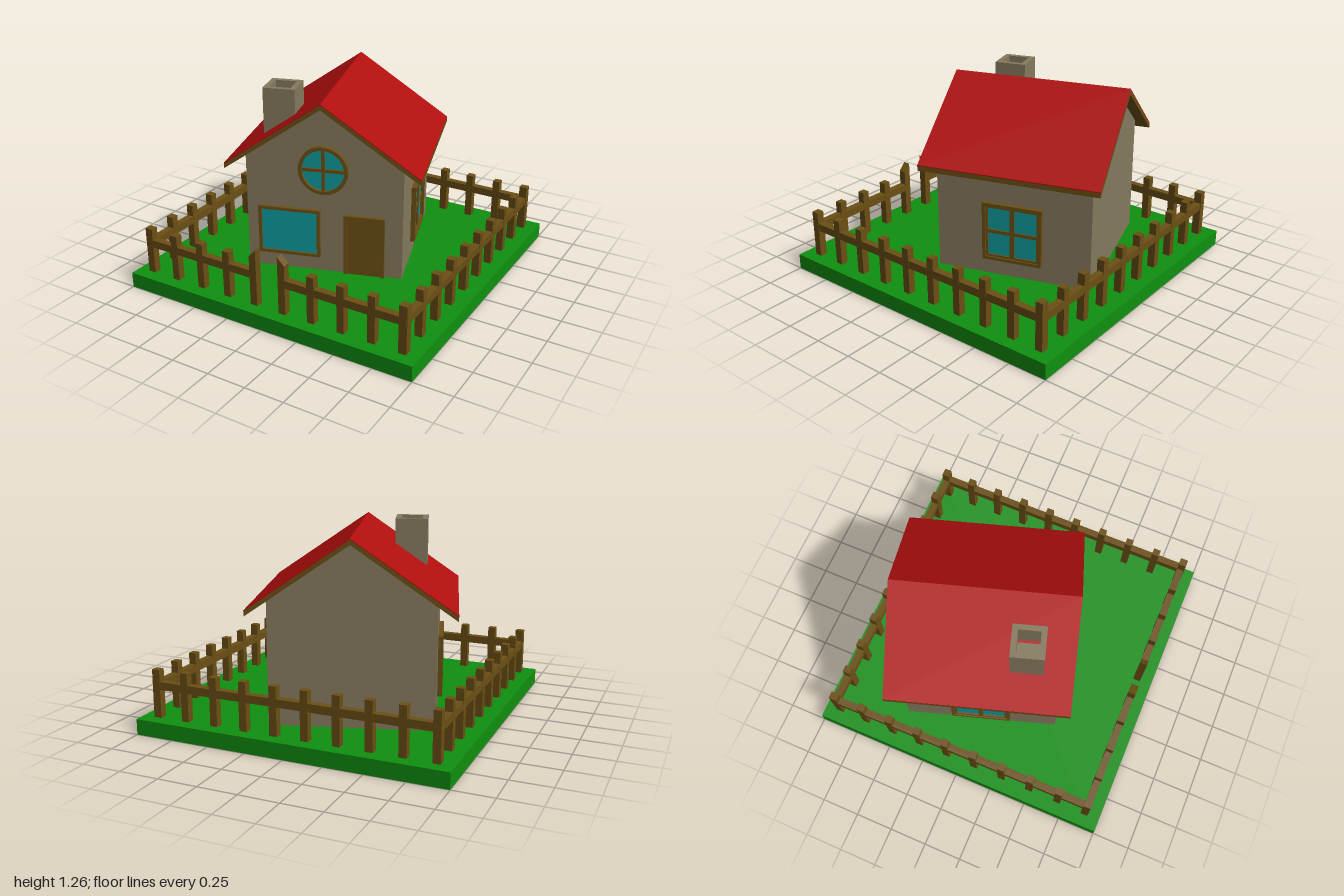
import * as THREE from 'three';

const mat = (color) => new THREE.MeshStandardMaterial({ color });

export function createModel() {
  const model = new THREE.Group();
  model.name = 'cottage';
  const grass = mat(0x0f900f), red = mat(0xb00e0e), wood = mat(0x6b4f14);
  const wall = mat(0x857a5e), glass = mat(0x0e9a9c);

  const add = (parent, name, geo, material, x = 0, y = 0, z = 0) => {
    const mesh = new THREE.Mesh(geo, material);
    mesh.name = name;
    mesh.position.set(x, y, z);
    parent.add(mesh);
    return mesh;
  };
  const box = (parent, name, material, w, h, d, x, y, z) =>
    add(parent, name, new THREE.BoxGeometry(w, h, d), material, x, y, z);
  const polygon = (points) => new THREE.Shape(points.map(([x, y]) => new THREE.Vector2(x, y)));
  const extrude = (shape, depth, curveSegments = 32) =>
    new THREE.ExtrudeGeometry(shape, { depth, bevelEnabled: false, curveSegments });
  const rect = (w, h) => polygon([[-w / 2, -h / 2], [w / 2, -h / 2], [w / 2, h / 2], [-w / 2, h / 2]]);
  const framed = (w, h, border) => {
    const shape = rect(w, h);
    shape.holes.push(rect(w - 2 * border, h - 2 * border));
    return shape;
  };

  // Lawn
  box(model, 'lawn', grass, 2, 0.1, 2, 0, 0.05, 0);

  // Fence: each side runs along its own local x axis
  const fence = new THREE.Group();
  fence.name = 'fence';
  model.add(fence);
  for (let side = 0; side < 4; side++) {
    const run = new THREE.Group();
    run.name = 'fenceSide';
    run.rotation.y = side * Math.PI / 2;
    fence.add(run);
    const isFront = side === 0;
    for (let i = 0; i < 9; i++) {
      const x = -0.9 + i * 0.2;
      if (isFront && Math.abs(x) < 0.15) continue;
      box(run, 'fencePost', wood, 0.048, 0.305, 0.048, x, 0.2525, 0.897);
    }
    if (!isFront) {
      box(run, 'fencePost', wood, 0.048, 0.305, 0.048, 0.897, 0.2525, 0.897);
      box(run, 'fenceRail', wood, 1.84, 0.05, 0.046, 0, 0.305, 0.897);
      continue;
    }
    // Opening with a slanted post on either side
    box(run, 'fencePost', wood, 0.048, 0.305, 0.048, 0.9, 0.2525, 0.897);
    for (const s of [-1, 1]) {
      box(run, 'fenceRail', wood, 0.82, 0.05, 0.046, s * 0.51, 0.305, 0.897);
      const points = [[s * 0.125, 0.1], [s * 0.077, 0.1], [s * 0.077, 0.475], [s * 0.125, 0.425]];
      add(run, 'gatePost', extrude(polygon(points), 0.048), wood, 0, 0, 0.873);
    }
  }

  // House, turned on its plot
  const house = new THREE.Group();
  house.name = 'house';
  house.position.set(-0.11, 0, -0.133);
  house.rotation.y = 0.305;
  model.add(house);

  const walls = polygon([[-0.5, 0.1], [0.5, 0.1], [0.5, 0.868], [0, 1.212], [-0.5, 0.868]]);
  add(house, 'walls', extrude(walls, 1), wall, 0, 0, -0.5);

  // Roof: timber chevron with a thin red covering
  const chevron = (eave, ridge, thick) => polygon([
    [-0.617, eave], [0, ridge], [0.617, eave],
    [0.617, eave + thick], [0, ridge + thick], [-0.617, eave + thick],
  ]);
  add(house, 'roofTimber', extrude(chevron(0.783, 1.21, 0.031), 1.15), wood, 0, 0, -0.575);
  add(house, 'roofCovering', extrude(chevron(0.814, 1.241, 0.006), 1.15), red, 0, 0, -0.575);

  // Chimney: hollow shaft with a floor inside
  const chimney = extrude(framed(0.205, 0.205, 0.034), 0.38).rotateX(-Math.PI / 2);
  add(house, 'chimney', chimney, wall, -0.31, 0.88, 0.285);
  box(house, 'chimneyFloor', wall, 0.14, 0.17, 0.14, -0.31, 0.985, 0.285);

  // Round gable window
  const roundWindow = new THREE.Group();
  roundWindow.name = 'roundWindow';
  roundWindow.position.set(0, 0.8, 0.5);
  house.add(roundWindow);
  const ring = new THREE.Shape().absarc(0, 0, 0.157, 0, Math.PI * 2);
  ring.holes.push(new THREE.Path().absarc(0, 0, 0.135, 0, Math.PI * 2, true));
  add(roundWindow, 'windowFrame', extrude(ring, 0.03, 24), wood);
  const disc = new THREE.CylinderGeometry(0.14, 0.14, 0.01, 48).rotateX(Math.PI / 2);
  add(roundWindow, 'windowGlass', disc, glass, 0, 0, 0.005);
  box(roundWindow, 'windowBar', wood, 0.02, 0.28, 0.02, 0, 0, 0.012);
  box(roundWindow, 'windowBar', wood, 0.28, 0.02, 0.02, 0, 0, 0.012);

  // Large front window
  add(house, 'frontWindowFrame', extrude(framed(0.4, 0.325, 0.02), 0.024), wood, -0.225, 0.3625, 0.5);
  box(house, 'frontWindowGlass', glass, 0.37, 0.295, 0.01, -0.225, 0.3625, 0.505);

  // Front door
  const doorFrame = polygon([[-0.13, 0.1], [-0.11, 0.1], [-0.11, 0.49], [0.11, 0.49],
    [0.11, 0.1], [0.13, 0.1], [0.13, 0.51], [-0.13, 0.51]]);
  add(house, 'doorFrame', extrude(doorFrame, 0.024), wood, 0.258, 0, 0.5);
  box(house, 'door', wood, 0.225, 0.392, 0.012, 0.258, 0.296, 0.506);

  // Side windows with two sashes each
  for (const s of [-1, 1]) {
    const win = new THREE.Group();
    win.name = 'sideWindow';
    win.position.set(s * 0.5, 0.4025, 0);
    win.rotation.y = s * Math.PI / 2;
    house.add(win);
    add(win, 'windowFrame', extrude(framed(0.385, 0.385, 0.02), 0.03), wood);
    box(win, 'windowGlass', glass, 0.36, 0.36, 0.008, 0, 0, 0.004);
    for (const t of [-1, 1]) {
      add(win, 'sashFrame', extrude(framed(0.173, 0.347, 0.014), 0.02), wood, t * 0.0865, 0, 0);
      box(win, 'sashBar', wood, 0.16, 0.022, 0.016, t * 0.0865, 0, 0.01);
    }
  }
  return model;
}
